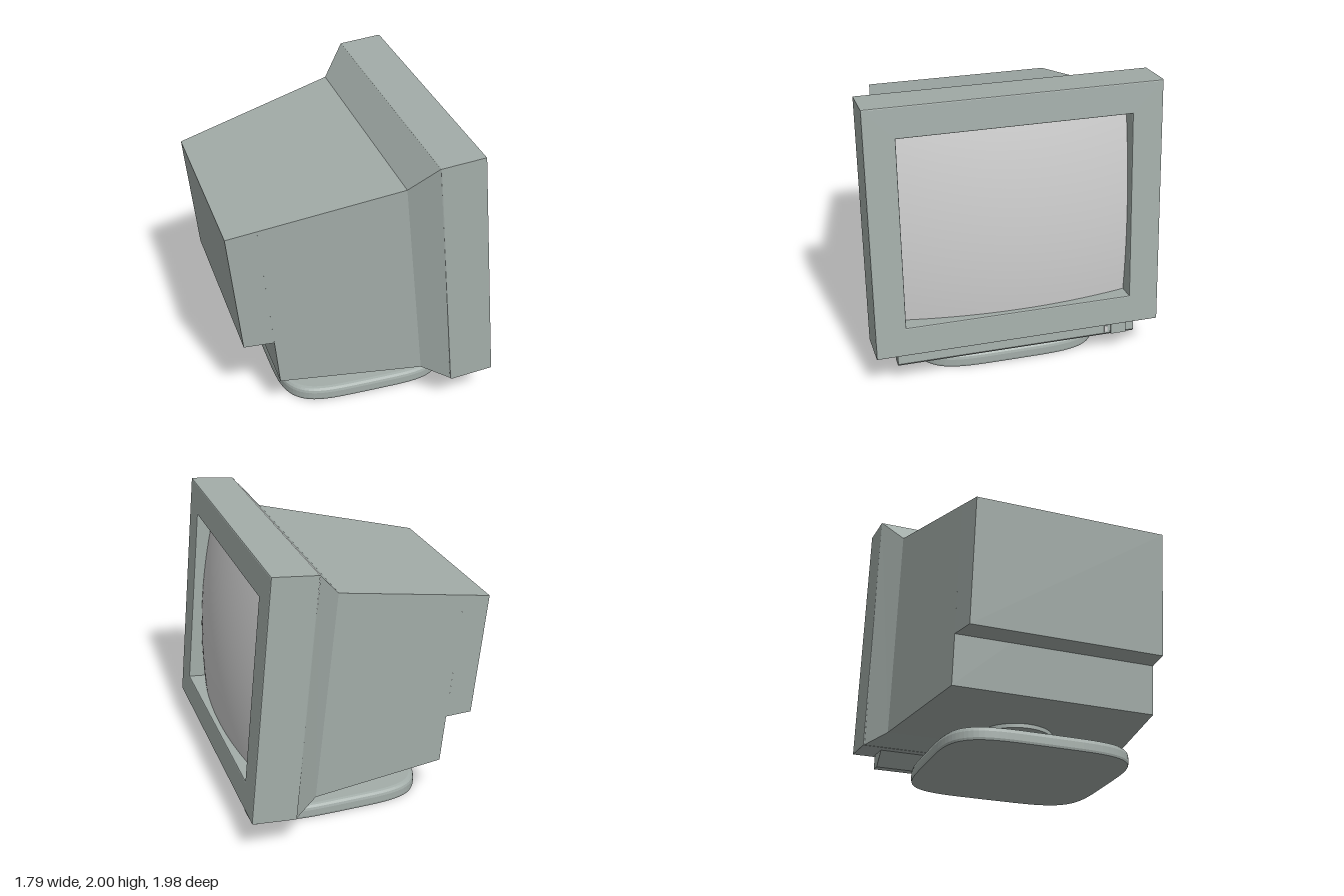
import * as THREE from 'three';

const caseGrey = new THREE.MeshStandardMaterial({ color: 0xa3ada9 });
const screenGrey = new THREE.MeshStandardMaterial({ color: 0xcccccc });
caseGrey.name = 'caseGrey';
screenGrey.name = 'screenGrey';

function add(parent, name, geometry, material, x = 0, y = 0, z = 0) {
  const mesh = new THREE.Mesh(geometry, material);
  mesh.name = name;
  mesh.position.set(x, y, z);
  parent.add(mesh);
  return mesh;
}

// Box-like loft through sections [topX, topY, bottomX, bottomY, halfWidth], back to front
function loft(sections) {
  const rings = sections.map(([tx, ty, bx, by, w]) => [
    [bx, by, -w], [bx, by, w], [tx, ty, w], [tx, ty, -w],
  ]);
  const pos = [];
  const quad = (a, b, c, d) => pos.push(...a, ...b, ...c, ...a, ...c, ...d);
  quad(...rings[0]);
  for (let i = 0; i + 1 < rings.length; i++) {
    for (let k = 0; k < 4; k++) {
      const n = (k + 1) % 4;
      quad(rings[i][n], rings[i][k], rings[i + 1][k], rings[i + 1][n]);
    }
  }
  const g = new THREE.BufferGeometry();
  g.setAttribute('position', new THREE.Float32BufferAttribute(pos, 3));
  g.computeVertexNormals();
  return g;
}

function rectPoints(w, y0, y1) {
  return [[-w, y0], [w, y0], [w, y1], [-w, y1]].map(p => new THREE.Vector2(...p));
}

export function createModel() {
  const model = new THREE.Group();
  model.name = 'monitor';

  // Housing: overhanging rear block, then body flaring out to the bezel
  add(model, 'rearHousing', loft([
    [-0.9, 1.51, -0.81, 0.63, 0.68],
    [-0.697, 1.557, -0.605, 0.645, 0.712],
  ]), caseGrey);
  add(model, 'mainHousing', loft([
    [-0.697, 1.557, -0.57, 0.3, 0.712],
    [0.25, 1.775, 0.41, 0.3, 0.86],
    [0.413, 1.968, 0.595, 0.248, 0.988],
  ]), caseGrey);

  // Tilted front: bezel frame and bulging tube
  const front = new THREE.Group();
  front.name = 'tiltedFront';
  front.rotation.z = Math.atan(0.1);
  model.add(front);

  const frame = new THREE.Shape(rectPoints(0.99, 0.187, 1.918));
  frame.holes.push(new THREE.Path(rectPoints(0.782, 0.392, 1.707).reverse()));
  const bevel = 0.008;
  const bezel = new THREE.ExtrudeGeometry(frame, {
    depth: 0.312 - 2 * bevel, bevelThickness: bevel, bevelSize: bevel,
    bevelOffset: -bevel, bevelSegments: 2,
  });
  bezel.rotateY(Math.PI / 2);
  add(front, 'bezel', bezel, caseGrey, 0.606 + bevel);

  const tube = new THREE.PlaneGeometry(1.58, 1.33, 24, 24);
  const p = tube.attributes.position;
  for (let i = 0; i < p.count; i++) {
    p.setZ(i, -0.138 * p.getX(i) ** 2 - 0.12 * p.getY(i) ** 2);
  }
  tube.computeVertexNormals();
  tube.rotateY(Math.PI / 2);
  add(front, 'screen', tube, screenGrey, 0.931, 1.049);

  // Control strip under the bezel, with button and lamp
  const stripShape = new THREE.Shape([
    [0.65, 0.26], [0.76, 0.16], [0.83, 0.163], [0.842, 0.18], [0.832, 0.28], [0.7, 0.275],
  ].map(q => new THREE.Vector2(...q)));
  add(model, 'controlStrip',
    new THREE.ExtrudeGeometry(stripShape, { depth: 1.68, bevelEnabled: false }),
    caseGrey, 0, 0, -0.84);
  const button = add(model, 'powerButton', new THREE.BoxGeometry(0.05, 0.08, 0.11),
    caseGrey, 0.828, 0.214, -0.725);
  button.rotation.z = Math.atan(0.1);
  const lamp = add(model, 'powerLamp', new THREE.BoxGeometry(0.008, 0.045, 0.025),
    screenGrey, 0.838, 0.213, -0.637);
  lamp.rotation.z = Math.atan(0.1);

  // Swivel stand
  const stand = new THREE.Group();
  stand.name = 'stand';
  model.add(stand);
  add(stand, 'swivelPlate', new THREE.CylinderGeometry(0.265, 0.265, 0.035, 48), caseGrey, 0.165, 0.288);
  add(stand, 'column', new THREE.CylinderGeometry(0.153, 0.153, 0.17, 48), caseGrey, 0.165, 0.195);
  add(stand, 'collar', new THREE.CylinderGeometry(0.16, 0.35, 0.03, 48), caseGrey, 0.165, 0.117);
  add(stand, 'collarFoot', new THREE.CylinderGeometry(0.35, 0.35, 0.012, 48), caseGrey, 0.165, 0.097);

  // Rounded-square foot with a softened top edge
  const outline = [];
  const soft = v => Math.sign(v) * Math.abs(v) ** 0.45;
  for (let i = 0; i < 72; i++) {
    const a = (i / 72) * Math.PI * 2;
    outline.push(new THREE.Vector2(0.625 * soft(Math.cos(a)), 0.67 * soft(Math.sin(a))));
  }
  const foot = new THREE.ExtrudeGeometry(new THREE.Shape(outline), {
    depth: 0.045, bevelThickness: 0.035, bevelSize: 0.035, bevelOffset: -0.035, bevelSegments: 3,
  });
  // Square off the lower bevel so the underside stays full width
  const f = foot.attributes.position;
  for (let i = 0; i < f.count; i++) {
    if (f.getZ(i) < 0) f.setZ(i, -0.015 + f.getZ(i) * 0.01);
  }
  foot.computeVertexNormals();
  foot.rotateX(-Math.PI / 2);
  add(stand, 'foot', foot, caseGrey, 0.115, 0.0154);

  return model;
}
